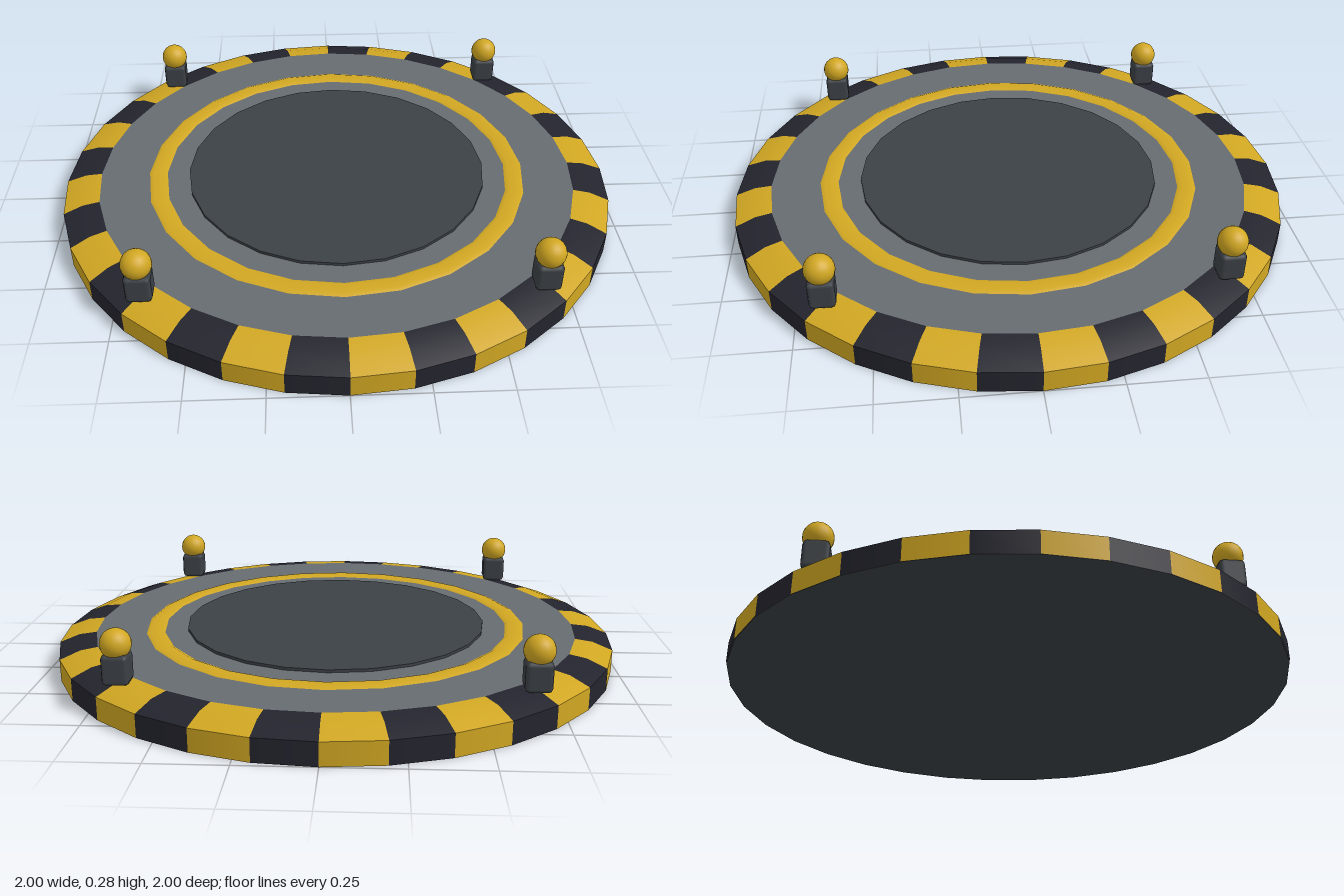
import * as THREE from 'three';
import { mergeGeometries } from 'three/addons/utils/BufferGeometryUtils.js';
import { RoundedBoxGeometry } from 'three/addons/geometries/RoundedBoxGeometry.js';

const material = (name, color) => {
  const m = new THREE.MeshStandardMaterial({ color });
  m.name = name;
  return m;
};
const points = (list) => list.map(([r, y]) => new THREE.Vector2(r, y));

export function createModel() {
  const model = new THREE.Group();
  model.name = 'roundPlatform';

  const yellow = material('hazardYellow', 0xd1a722);
  const black = material('hazardBlack', 0x24242e);
  const grey = material('deckGrey', 0x676c70);
  const dark = material('darkSteel', 0x3c4146);

  const add = (name, geometry, mat, x = 0, y = 0, z = 0) => {
    const mesh = new THREE.Mesh(geometry, mat);
    mesh.name = name;
    mesh.position.set(x, y, z);
    model.add(mesh);
  };
  // Disc standing between two heights
  const disc = (r, y0, y1, sides) =>
    new THREE.CylinderGeometry(r, r, y1 - y0, sides).translate(0, (y0 + y1) / 2, 0);

  // Base plate and deck
  add('basePlate', disc(0.998, 0, 0.07, 32), dark);
  add('deck', disc(0.875, 0.05, 0.108, 32), grey);

  // Striped rim: upright wall plus softly bevelled top, in 32 alternating blocks
  const wall = points([[1, 0], [1, 0.077]]);
  const bevel = points([[1, 0.077], [0.93, 0.103], [0.87, 0.109]]);
  const step = (Math.PI * 2) / 32;
  const stripes = [[], []];
  for (let i = 0; i < 32; i++) {
    for (const profile of [wall, bevel]) {
      stripes[i % 2].push(new THREE.LatheGeometry(profile, 1, i * step, step));
    }
  }
  add('rimYellowStripes', mergeGeometries(stripes[0]), yellow);
  add('rimBlackStripes', mergeGeometries(stripes[1]), black);

  // Low painted ring around the raised centre pad
  const ring = points([[0.695, 0.107], [0.68, 0.114], [0.64, 0.114], [0.625, 0.107]]);
  add('guideRing', new THREE.LatheGeometry(ring, 24), yellow);
  add('centrePad', disc(0.545, 0.1, 0.118, 24), dark);

  // Four corner beacons
  const post = new RoundedBoxGeometry(0.086, 0.1, 0.086, 1, 0.015);
  const lamp = new THREE.SphereGeometry(0.05, 20, 14);
  for (const x of [-0.65, 0.65]) {
    for (const z of [-0.65, 0.65]) {
      add('beaconPost', post, dark, x, 0.155, z);
      add('beaconLamp', lamp, yellow, x, 0.233, z);
    }
  }
  return model;
}
